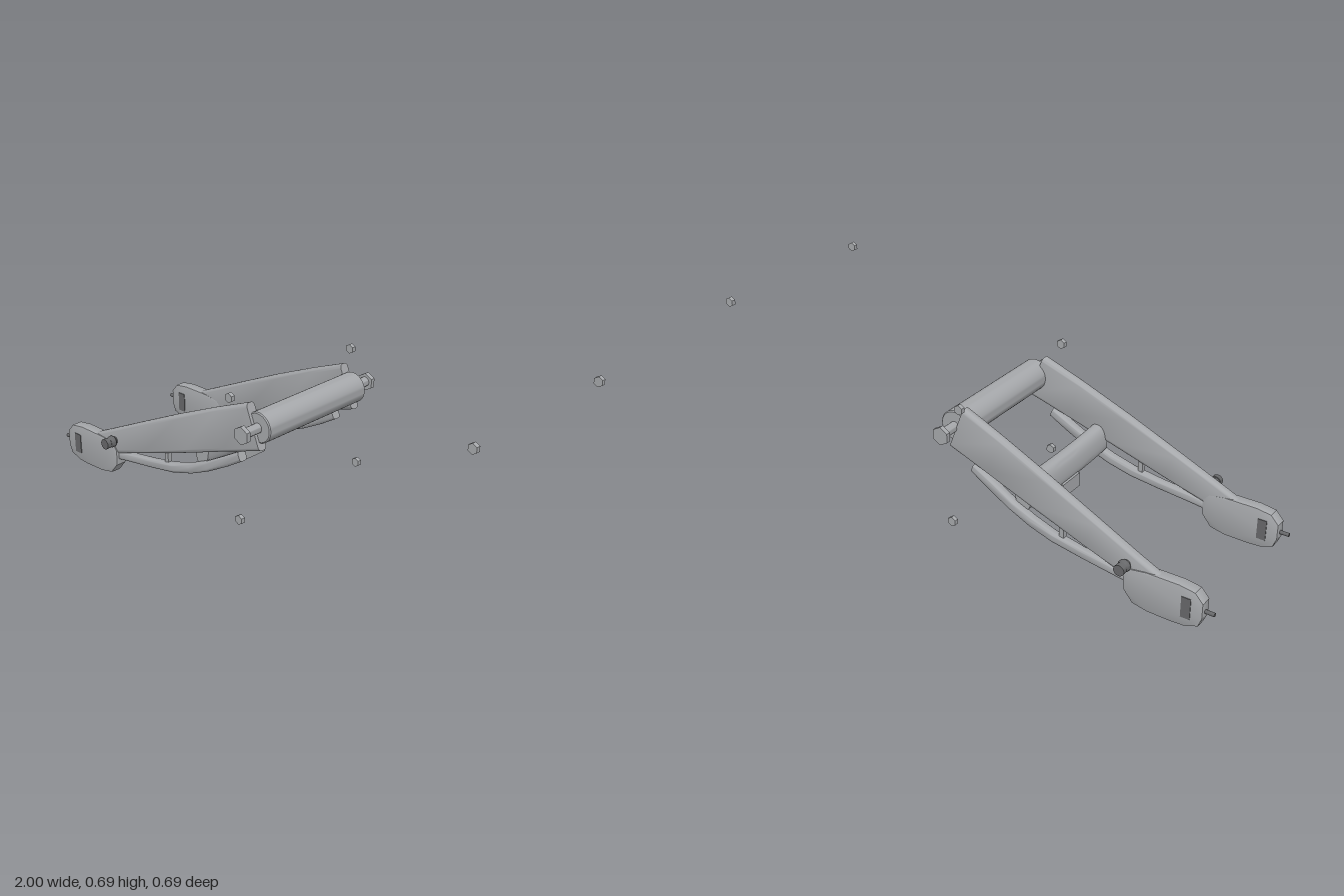
import * as THREE from 'three';
import { toCreasedNormals } from 'three/addons/utils/BufferGeometryUtils.js';

const metal = new THREE.MeshStandardMaterial({ color: 0xa6a8ab });
metal.name = 'grey metal';
const dark = new THREE.MeshStandardMaterial({ color: 0x67686a });
dark.name = 'dark steel';

// Skin a closed solid over matching rings of points
function loft(rings) {
  const n = rings[0].length, pos = [], idx = [];
  rings.forEach(r => r.forEach(p => pos.push(p.x, p.y, p.z)));
  for (let i = 0; i < rings.length - 1; i++) {
    for (let j = 0; j < n; j++) {
      const a = i * n + j, b = i * n + (j + 1) % n;
      idx.push(a, a + n, b + n, a, b + n, b);
    }
  }
  const last = (rings.length - 1) * n;
  for (let j = 1; j < n - 1; j++) {
    idx.push(0, j, j + 1, last, last + j + 1, last + j);
  }
  const g = new THREE.BufferGeometry();
  g.setAttribute('position', new THREE.Float32BufferAttribute(pos, 3));
  g.setIndex(idx);
  return toCreasedNormals(g, 0.7);
}

// Rounded section spanning a top and a bottom point, with half width w in z
function section([tx, ty, bx, by, z, w], round) {
  const top = new THREE.Vector3(tx, ty, z), bottom = new THREE.Vector3(bx, by, z);
  const centre = top.clone().add(bottom).multiplyScalar(0.5);
  const up = top.sub(bottom), h = up.length() / 2;
  up.normalize();
  const r = round * Math.min(w, h), ring = [];
  for (let q = 0; q < 4; q++) {
    const su = q === 0 || q === 3 ? 1 : -1, sv = q < 2 ? 1 : -1;
    for (let k = 0; k <= 5; k++) {
      const a = (q + k / 5) * Math.PI / 2;
      const p = centre.clone().addScaledVector(up, su * (h - r) + r * Math.cos(a));
      p.z += sv * (w - r) + r * Math.sin(a);
      ring.push(p);
    }
  }
  return ring;
}

function add(parent, name, geometry, material, x = 0, y = 0, z = 0) {
  const mesh = new THREE.Mesh(geometry, material);
  mesh.name = name;
  mesh.position.set(x, y, z);
  parent.add(mesh);
  return mesh;
}

const rod = (r, length, sides = 32) =>
  toCreasedNormals(new THREE.CylinderGeometry(r, r, length, sides).rotateX(Math.PI / 2), 0.6);

export function createModel() {
  const model = new THREE.Group();
  model.name = 'swingarm';

  // Pivot tube, its spindle and the cross brace between the arms
  const profile = [[0, -0.25], [0.053, -0.25], [0.057, -0.246], [0.057, 0.246], [0.053, 0.25], [0, 0.25]]
    .map(p => new THREE.Vector2(...p));
  add(model, 'pivotTube', toCreasedNormals(new THREE.LatheGeometry(profile, 40).rotateX(Math.PI / 2), 0.6),
    metal, 0.034, 0.412, 0);
  add(model, 'pivotSpindle', rod(0.018, 0.65), metal, 0.034, 0.412, 0);

  const braceRings = [];
  for (let i = 0; i <= 12; i++) {
    const z = 0.25 - i / 24, cy = 0.225 + 0.009 * (z / 0.25) ** 2;
    const ring = [];
    for (let k = 0; k < 28; k++) {
      const a = k / 28 * Math.PI * 2, c = Math.cos(a), s = Math.sin(a);
      const u = 0.031 * Math.sign(c) * Math.abs(c) ** 0.8, v = 0.054 * Math.sign(s) * Math.abs(s) ** 0.8;
      ring.push(new THREE.Vector3(-0.248 + u + v * 0.12, cy + v, z));
    }
    braceRings.push(ring);
  }
  add(model, 'crossBrace', loft(braceRings), metal);
  add(model, 'braceBracket', new THREE.BoxGeometry(0.056, 0.055, 0.108), metal, -0.259, 0.162, 0);

  // Rear axle plate outline
  const plate = new THREE.Shape([[-0.962, 0.055], [-0.95, 0.024], [-0.905, 0.007], [-0.86, 0.004], [-0.77, 0.005],
    [-0.715, 0.016], [-0.682, 0.055], [-0.679, 0.112], [-0.7, 0.136], [-0.76, 0.146], [-0.88, 0.148],
    [-0.935, 0.14], [-0.962, 0.11]].map(p => new THREE.Vector2(...p)));

  const spoolProfile = [[0, 0], [0.014, 0], [0.014, 0.018], [0.022, 0.026], [0.022, 0.035], [0.018, 0.043],
    [0.018, 0.046], [0.02, 0.048], [0.02, 0.066], [0, 0.066]].map(p => new THREE.Vector2(...p));

  for (const s of [1, -1]) {
    const side = new THREE.Group();
    side.name = s > 0 ? 'leftSide' : 'rightSide';
    model.add(side);
    const mirror = stations => stations.map(([a, b, c, d, z, w]) => [a, b, c, d, z * s, w]);

    // Tapered main arm: top x, y, bottom x, y, z, half width
    add(side, 'mainArm', loft(mirror([
      [-0.01, 0.493, 0.05, 0.33, 0.243, 0.019],
      [-0.17, 0.43, -0.11, 0.28, 0.251, 0.02],
      [-0.36, 0.35, -0.3, 0.217, 0.26, 0.02],
      [-0.56, 0.26, -0.51, 0.15, 0.268, 0.02],
      [-0.72, 0.187, -0.68, 0.098, 0.274, 0.02],
      [-0.83, 0.138, -0.8, 0.07, 0.276, 0.02],
    ]).map(p => section(p, 0.8))), metal);

    // Curved lower brace tube
    add(side, 'lowerTube', loft(mirror([
      [-0.055, 0.297, -0.04, 0.263, 0.247, 0.018],
      [-0.13, 0.255, -0.113, 0.22, 0.25, 0.018],
      [-0.22, 0.207, -0.205, 0.172, 0.254, 0.018],
      [-0.3, 0.173, -0.29, 0.137, 0.258, 0.018],
      [-0.39, 0.147, -0.384, 0.111, 0.262, 0.017],
      [-0.5, 0.129, -0.496, 0.095, 0.266, 0.016],
      [-0.62, 0.114, -0.618, 0.081, 0.27, 0.016],
      [-0.72, 0.1, -0.718, 0.068, 0.272, 0.016],
    ]).map(p => section(p, 0.6))), metal);

    // Small strut between arm and lower tube
    add(side, 'strut', new THREE.BoxGeometry(0.018, 0.07, 0.018), metal, -0.42, 0.155, s * 0.262);

    // Axle plate with adjuster block and screw
    const plateGeo = new THREE.ExtrudeGeometry(plate, {
      depth: 0.037, bevelThickness: 0.004, bevelSize: 0.004, bevelSegments: 2,
    });
    add(side, 'axlePlate', toCreasedNormals(plateGeo, 0.5), metal, 0, 0, s * 0.2755 - 0.0185);
    add(side, 'axleBlock', new THREE.BoxGeometry(0.034, 0.078, 0.05), dark, -0.907, 0.075, s * 0.2755);
    add(side, 'adjusterScrew', new THREE.CylinderGeometry(0.007, 0.007, 0.06, 16).rotateZ(Math.PI / 2),
      dark, -0.97, 0.074, s * 0.277);

    // Stand spool
    const spool = new THREE.LatheGeometry(spoolProfile, 28).rotateX(s * Math.PI / 2);
    add(side, 'standSpool', toCreasedNormals(spool, 0.5), dark, -0.685, 0.155, s * 0.279);

    // Pivot nut and the loose hex nuts
    add(side, 'pivotNut', rod(0.034, 0.017, 6), metal, 0.034, 0.41, s * 0.325);
    for (const [x, y, z] of [[-0.035, 0.525, 0.313], [0.982, 0.67, 0.339], [0.002, 0.073, 0.313]]) {
      add(side, 'hexNut', rod(0.018, 0.016, 6), metal, x, y, s * z);
    }
  }
  return model;
}
